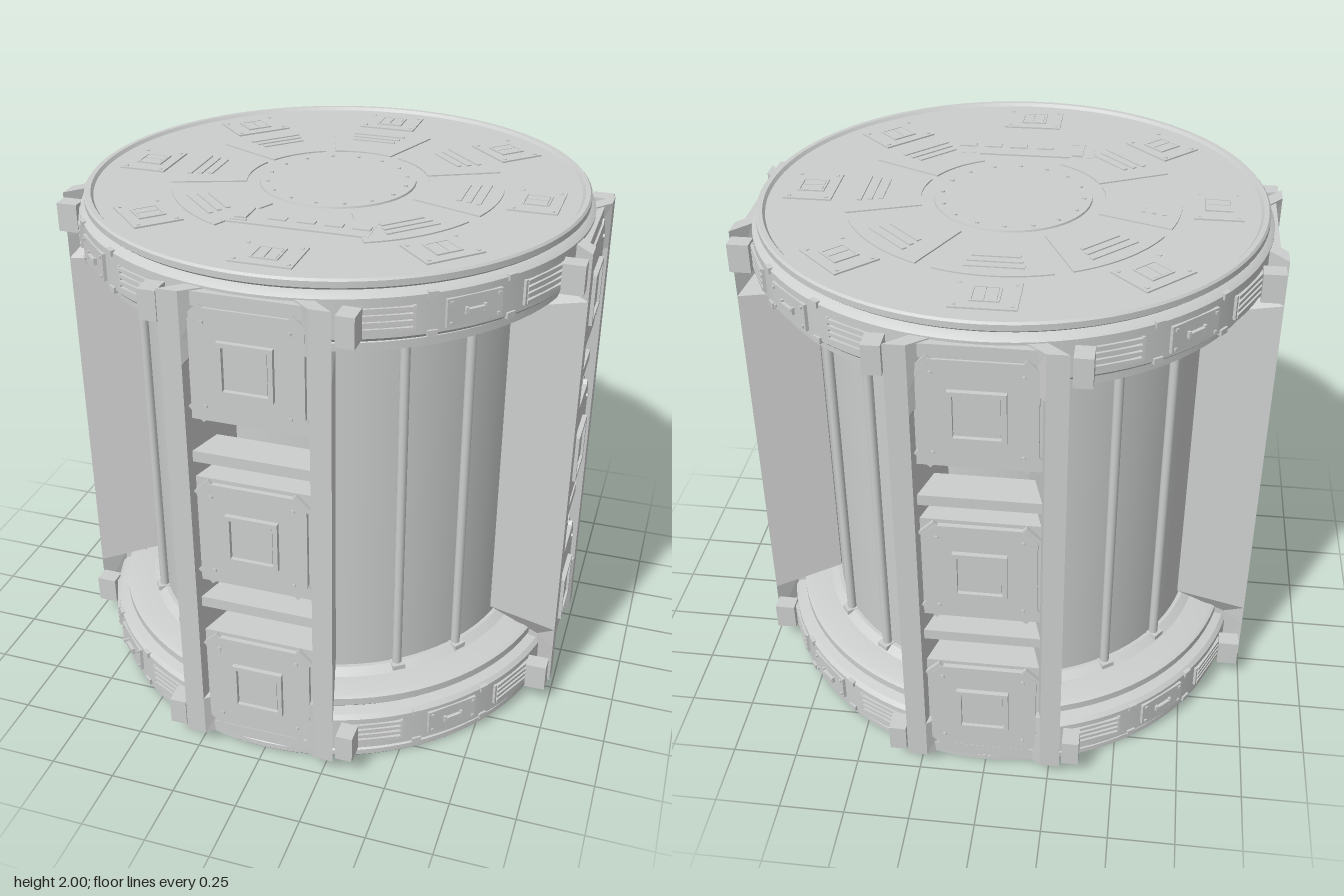
import * as THREE from 'three';
import { toCreasedNormals } from 'three/addons/utils/BufferGeometryUtils.js';

const metal = new THREE.MeshStandardMaterial({ color: 0xcccecd });
metal.name = 'paleGreyMetal';

function add(parent, name, geo, x = 0, y = 0, z = 0) {
  const m = new THREE.Mesh(geo, metal);
  m.name = name;
  m.position.set(x, y, z);
  parent.add(m);
  return m;
}
const box = (w, h, d) => new THREE.BoxGeometry(w, h, d);

function group(parent, name, angle = 0) {
  const g = new THREE.Group();
  g.name = name;
  g.rotation.y = angle;
  parent.add(g);
  return g;
}

// Flat-sided solid through four-cornered sections, listed bottom to top
function loft(sections) {
  const p = [];
  const quad = (a, b, c, d) => p.push(...a, ...b, ...c, ...a, ...c, ...d);
  for (let i = 0; i + 1 < sections.length; i++) {
    for (let j = 0; j < 4; j++) {
      const k = (j + 1) % 4;
      quad(sections[i][j], sections[i][k], sections[i + 1][k], sections[i + 1][j]);
    }
  }
  quad(...[...sections[0]].reverse());
  quad(...sections[sections.length - 1]);
  const g = new THREE.BufferGeometry();
  g.setAttribute('position', new THREE.Float32BufferAttribute(p, 3));
  g.computeVertexNormals();
  return g;
}

// Slanted side plate, deep between the rings and shallow in front of them
function sidePlate(side) {
  const levels = [[-0.93, 0.93], [-0.76, 0.92], [-0.67, 0.72], [0.67, 0.72], [0.76, 0.92], [0.935, 0.93]];
  return loft(levels.map(([y, r]) => {
    const s = [[0.295, y, 0.995], [0.22, y, r], [0.14, y, r], [0.22, y, 0.995]];
    return side > 0 ? s : s.map(([x, h, z]) => [-x, h, z]).reverse();
  }));
}

// Plate with cut corners, facing +z
function cutPlate(w, h, c, depth) {
  const s = new THREE.Shape();
  s.moveTo(-w + c, -h);
  [[w - c, -h], [w, -h + c], [w, h - c], [w - c, h], [-w + c, h], [-w, h - c], [-w, -h + c]]
    .forEach(([x, y]) => s.lineTo(x, y));
  return new THREE.ExtrudeGeometry(s, { depth, bevelEnabled: false });
}

function squareFrame(outer, inner, depth) {
  const s = new THREE.Shape();
  s.moveTo(-outer, -outer).lineTo(outer, -outer).lineTo(outer, outer).lineTo(-outer, outer);
  const h = new THREE.Path();
  h.moveTo(-inner, -inner).lineTo(-inner, inner).lineTo(inner, inner).lineTo(inner, -inner);
  s.holes.push(h);
  return new THREE.ExtrudeGeometry(s, { depth, bevelEnabled: false });
}

// Raised sector of the lid, centred on +z
function wedge(r0, r1, half, depth) {
  const mid = -Math.PI / 2;
  const s = new THREE.Shape();
  s.absarc(0, 0, r1, mid - half, mid + half, false);
  s.absarc(0, 0, r0, mid + half, mid - half, true);
  return new THREE.ExtrudeGeometry(s, { depth, bevelEnabled: false, curveSegments: 10 }).rotateX(-Math.PI / 2);
}

// One pylon: two side plates, three hatches, cross bars and end caps
function buildPylon(parent, angle) {
  const g = group(parent, 'pylon', angle);
  for (const side of [-1, 1]) {
    add(g, 'sidePlate', sidePlate(side));
    add(g, 'crossBar', box(0.44, 0.042, 0.13), 0, side * 0.31, 0.905);
    add(g, 'endCap', box(0.44, 0.05, 0.1), 0, side * 0.905, 0.92);
  }
  for (const y of [-0.665, 0.005, 0.675]) {
    const panel = group(g, 'hatchPanel');
    panel.position.y = y;
    add(panel, 'hatchBody', box(0.43, 0.44, 0.14), 0, 0, 0.89);
    add(panel, 'hatchFace', cutPlate(0.2, 0.205, 0.045, 0.018), 0, 0, 0.96);
    add(panel, 'windowFrame', squareFrame(0.097, 0.08, 0.018), 0, 0, 0.978);
    add(panel, 'windowPlate', box(0.15, 0.15, 0.01), 0, 0, 0.982);
    for (const sx of [-1, 1]) for (const sy of [-1, 1]) {
      const corner = add(panel, 'cornerBracket', box(0.075, 0.022, 0.016), sx * 0.18, sy * 0.185, 0.968);
      corner.rotation.z = -sx * sy * Math.PI / 4;
      add(panel, 'bolt', new THREE.CylinderGeometry(0.008, 0.008, 0.012, 8).rotateX(Math.PI / 2),
        sx * 0.15, sy * 0.155, 0.98);
    }
  }
}

// Rim fittings between two pylons
function buildRimQuarter(ring, angle) {
  const quarter = group(ring, 'rimQuarter', angle);
  for (const side of [-1, 1]) {
    add(quarter, 'pylonBracket', box(0.065, 0.11, 0.08), side * 0.335, 0.865, 0.945);
  }
  for (const deg of [26, 64]) {
    const vent = group(quarter, 'rimVent', deg * Math.PI / 180);
    for (let i = 0; i < 4; i++) add(vent, 'slat', box(0.2, 0.013, 0.026), 0, 0.829 + i * 0.024, 0.95);
    for (const s of [-1, 1]) add(vent, 'ventEnd', box(0.01, 0.09, 0.024), s * 0.105, 0.865, 0.947);
  }
  const hatch = group(quarter, 'rimHatch', Math.PI / 4);
  add(hatch, 'hatchPlate', box(0.21, 0.1, 0.026), 0, 0.865, 0.948);
  add(hatch, 'handle', box(0.07, 0.012, 0.016), 0, 0.865, 0.966);
  for (const s of [-1, 1]) {
    add(hatch, 'handleEnd', box(0.01, 0.025, 0.014), s * 0.035, 0.865, 0.965);
    for (const t of [-1, 1]) add(hatch, 'bolt', box(0.01, 0.01, 0.01), s * 0.09, 0.865 + t * 0.036, 0.962);
  }
  for (const deg of [36, 54]) {
    const seam = group(quarter, 'rimSeam', deg * Math.PI / 180);
    add(seam, 'clip', box(0.035, 0.022, 0.02), 0, 0.938, 0.953);
    add(seam, 'clip', box(0.035, 0.022, 0.02), 0, 0.802, 0.953);
  }
}

// End ring with its lid; built for the top and flipped for the bottom
function buildRing(parent, name, hasControls) {
  const ring = group(parent, name);
  const profile = [[0.7, 0.725], [0.89, 0.725], [0.91, 0.735], [0.91, 0.765], [0.9, 0.775], [0.94, 0.785],
    [0.955, 0.8], [0.955, 0.94], [0.94, 0.953], [0.925, 0.96], [0.937, 0.97], [0.937, 0.992], [0.93, 1],
    [0.912, 1], [0.903, 0.988], [0, 0.988]].map(([r, y]) => new THREE.Vector2(r, y));
  add(ring, 'ringBody', toCreasedNormals(new THREE.LatheGeometry(profile, 96), 0.5));
  add(ring, 'coreCollar', new THREE.CylinderGeometry(0.8, 0.765, 0.025, 96), 0, 0.715, 0);
  for (let q = 0; q < 4; q++) buildRimQuarter(ring, q * Math.PI / 2);

  add(ring, 'centreCover', new THREE.CylinderGeometry(0.29, 0.293, 0.012, 64), 0, 0.989, 0);
  for (let i = 0; i < 16; i++) {
    const a = i * Math.PI / 8;
    add(ring, 'coverBolt', new THREE.CylinderGeometry(0.007, 0.007, 0.006, 8),
      0.262 * Math.sin(a), 0.997, 0.262 * Math.cos(a));
  }
  for (let k = 0; k < 8; k++) {
    const sector = group(ring, 'lidSector', k * Math.PI / 4);
    add(sector, 'lidPad', box(0.225, 0.01, 0.18), 0, 0.989, 0.75);
    add(sector, 'padFrame', squareFrame(0.05, 0.042, 0.005).rotateX(-Math.PI / 2), 0, 0.994, 0.75);
    for (const s of [-1, 1]) {
      add(sector, 'padKey', box(0.038, 0.008, 0.08), s * 0.021, 0.994, 0.75);
      for (const t of [-1, 1]) add(sector, 'padBolt', box(0.012, 0.004, 0.012), s * 0.095, 0.995, 0.75 + t * 0.07);
    }
    if (hasControls && k === 0) continue;
    add(sector, 'lidWedge', wedge(0.34, 0.62, 0.34, 0.005), 0, 0.988, 0);
    for (let i = 0; i < 3; i++) {
      add(sector, 'lidVent', box(0.17 + i * 0.02, 0.005, 0.018), 0, 0.995, 0.48 + i * 0.038);
    }
  }
  if (hasControls) {
    const panel = group(ring, 'controlStrip');
    add(panel, 'stripPlate', box(0.54, 0.008, 0.14), 0, 0.99, 0.445);
    add(panel, 'lever', box(0.045, 0.008, 0.1), -0.205, 0.996, 0.43);
    add(panel, 'leverFoot', box(0.06, 0.005, 0.012), -0.205, 0.995, 0.495);
    for (const x of [-0.075, 0.03, 0.13, 0.23]) add(panel, 'key', box(0.065, 0.006, 0.03), x, 0.996, 0.45);
  }
  return ring;
}

export function createModel() {
  const model = new THREE.Group();
  model.name = 'ringedDrum';
  const body = group(model, 'body');
  body.position.y = 1;

  add(body, 'core', new THREE.CylinderGeometry(0.75, 0.75, 1.46, 96, 1, true));
  buildRing(body, 'topRing', true);
  buildRing(body, 'bottomRing', false).rotation.x = Math.PI;

  for (let q = 0; q < 4; q++) {
    buildPylon(body, q * Math.PI / 2);
    // Pipes running up the core between pylons
    for (const deg of [35, 55]) {
      const run = group(body, 'pipeRun', q * Math.PI / 2 + deg * Math.PI / 180);
      add(run, 'pipe', new THREE.CylinderGeometry(0.018, 0.018, 1.46, 12), 0, 0, 0.765);
      for (const s of [-1, 1]) add(run, 'pipeClamp', box(0.05, 0.02, 0.05), 0, s * 0.71, 0.77);
    }
  }
  return model;
}
